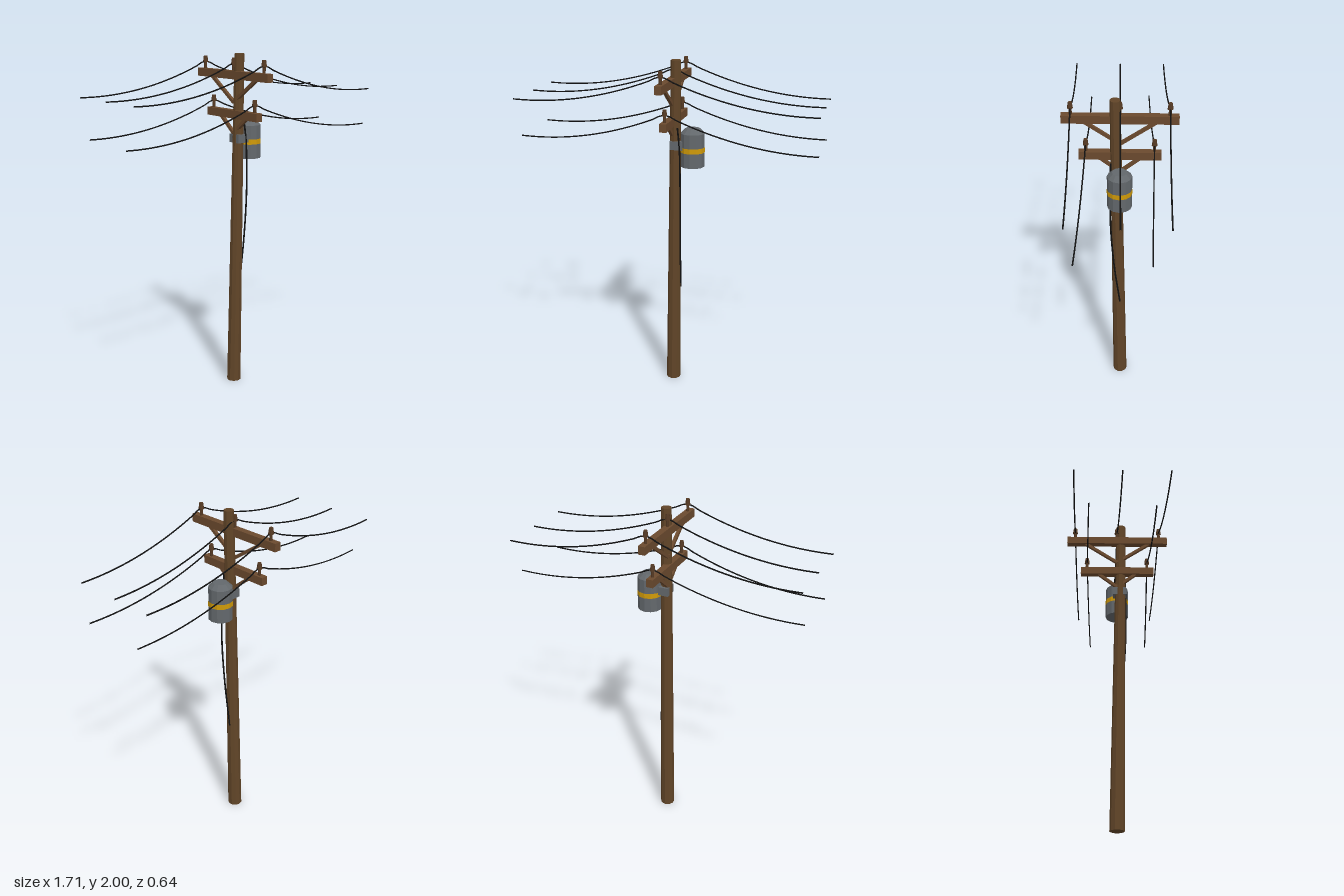
import * as THREE from 'three';

const mat = (name, color) => {
  const m = new THREE.MeshStandardMaterial({ color });
  m.name = name;
  return m;
};

export function createModel() {
  const model = new THREE.Group();
  model.name = 'utilityPole';

  const poleWood = mat('poleWood', 0x614528);
  const armWood = mat('armWood', 0x6b4a2e);
  const insulatorBrown = mat('insulatorBrown', 0x553a24);
  const steel = mat('steelGrey', 0x63686c);
  const yellow = mat('warningYellow', 0xd09a08);
  const black = mat('wireBlack', 0x111111);

  const add = (name, geometry, material, x = 0, y = 0, z = 0) => {
    let g = geometry;
    if (material !== black) {
      g = geometry.index ? geometry.toNonIndexed() : geometry;
      g.computeVertexNormals();
    }
    const mesh = new THREE.Mesh(g, material);
    mesh.name = name;
    mesh.position.set(x, y, z);
    model.add(mesh);
    return mesh;
  };

  // Tapered pole, sheared so that it leans slightly
  const pole = new THREE.CylinderGeometry(0.029, 0.043, 2, 10, 1);
  pole.translate(0, 1, 0);
  const p = pole.attributes.position;
  for (let i = 0; i < p.count; i++) {
    const t = p.getY(i) / 2;
    p.setX(i, p.getX(i) + 0.02 * t);
    p.setZ(i, p.getZ(i) + 0.026 * t);
  }
  add('pole', pole, poleWood);

  // Cross arms with diagonal braces
  const brace = (y0, z0, y1, z1) => {
    const length = Math.hypot(y1 - y0, z1 - z0);
    const mesh = add('brace', new THREE.BoxGeometry(0.018, 0.018, length), armWood,
      0, (y0 + y1) / 2, (z0 + z1) / 2);
    mesh.rotation.x = -Math.atan2(y1 - y0, z1 - z0);
  };
  const arms = [
    { y: 1.879, half: 0.318, braceZ: 0.2, braceDrop: 0.155 },
    { y: 1.655, half: 0.228, braceZ: 0.115, braceDrop: 0.11 },
  ];
  for (const a of arms) {
    add('crossArm', new THREE.BoxGeometry(0.04, 0.047, a.half * 2), armWood, 0, a.y, 0);
    for (const s of [-1, 1]) brace(a.y - 0.018, s * a.braceZ, a.y - a.braceDrop, 0);
  }

  // Insulators: slim stem under a bell-shaped cap
  const insulator = (y, z) => {
    const profile = [[0, 0], [0.009, 0], [0.009, 0.035], [0.016, 0.037], [0.011, 0.073], [0, 0.073]]
      .map(([r, h]) => new THREE.Vector2(r, h));
    add('insulator', new THREE.LatheGeometry(profile, 8), insulatorBrown, 0, y, z);
  };

  // Sagging wires, one span to either side of each insulator
  const wire = (y, zs, ends) => {
    const points = [];
    for (let i = -12; i <= 12; i++) {
      const t = Math.abs(i) / 12;
      const side = i < 0 ? 0 : 1;
      const vertex = side ? 0.95 : 0.9;
      const depth = y - ends[side];
      const sag = depth * (1 - ((vertex - t) / vertex) ** 2);
      const zEnd = i < 0 ? zs[0] : zs[2];
      points.push(new THREE.Vector3(0.857 * i / 12, y - sag, zs[1] + (zEnd - zs[1]) * t));
    }
    const curve = new THREE.CatmullRomCurve3(points);
    add('wire', new THREE.TubeGeometry(curve, 48, 0.004, 6), black);
  };
  const upper = [[-0.25, -0.268, -0.265], [0.018, 0, -0.022], [0.287, 0.266, 0.247]];
  const lower = [[-0.165, -0.189, -0.178], [0.2, 0.188, 0.21]];
  for (const z of upper) {
    insulator(1.902, z[1]);
    wire(1.945, z, [1.782, 1.768]);
  }
  lower.forEach((z, i) => {
    insulator(1.678, z[1]);
    wire(1.722, z, [1.564 - 0.012 * i, 1.55]);
  });

  // Transformer can with a sloped lid and a coloured band
  const can = [[0, 1.39], [0.07, 1.39], [0.07, 1.585], [0.042, 1.612], [0, 1.612]]
    .map(([r, h]) => new THREE.Vector2(r, h));
  add('transformer', new THREE.LatheGeometry(can, 12), steel, 0.113, 0, 0);
  add('transformerBand', new THREE.CylinderGeometry(0.0715, 0.0715, 0.03, 12, 1, true),
    yellow, 0.113, 1.49, 0);
  add('transformerBracket', new THREE.BoxGeometry(0.075, 0.05, 0.08), steel, 0.0265, 1.515, 0.015);

  // Cable dropping from the transformer to the side of the pole
  const drop = new THREE.CatmullRomCurve3([
    [0.035, 1.62, 0.05], [0.048, 1.5, 0.054], [0.053, 1.3, 0.055],
    [0.054, 1.15, 0.051], [0.05, 0.9, 0.033], [0.044, 0.62, 0],
  ].map((v) => new THREE.Vector3(...v)));
  add('dropCable', new THREE.TubeGeometry(drop, 32, 0.005, 6), black);

  return model;
}
